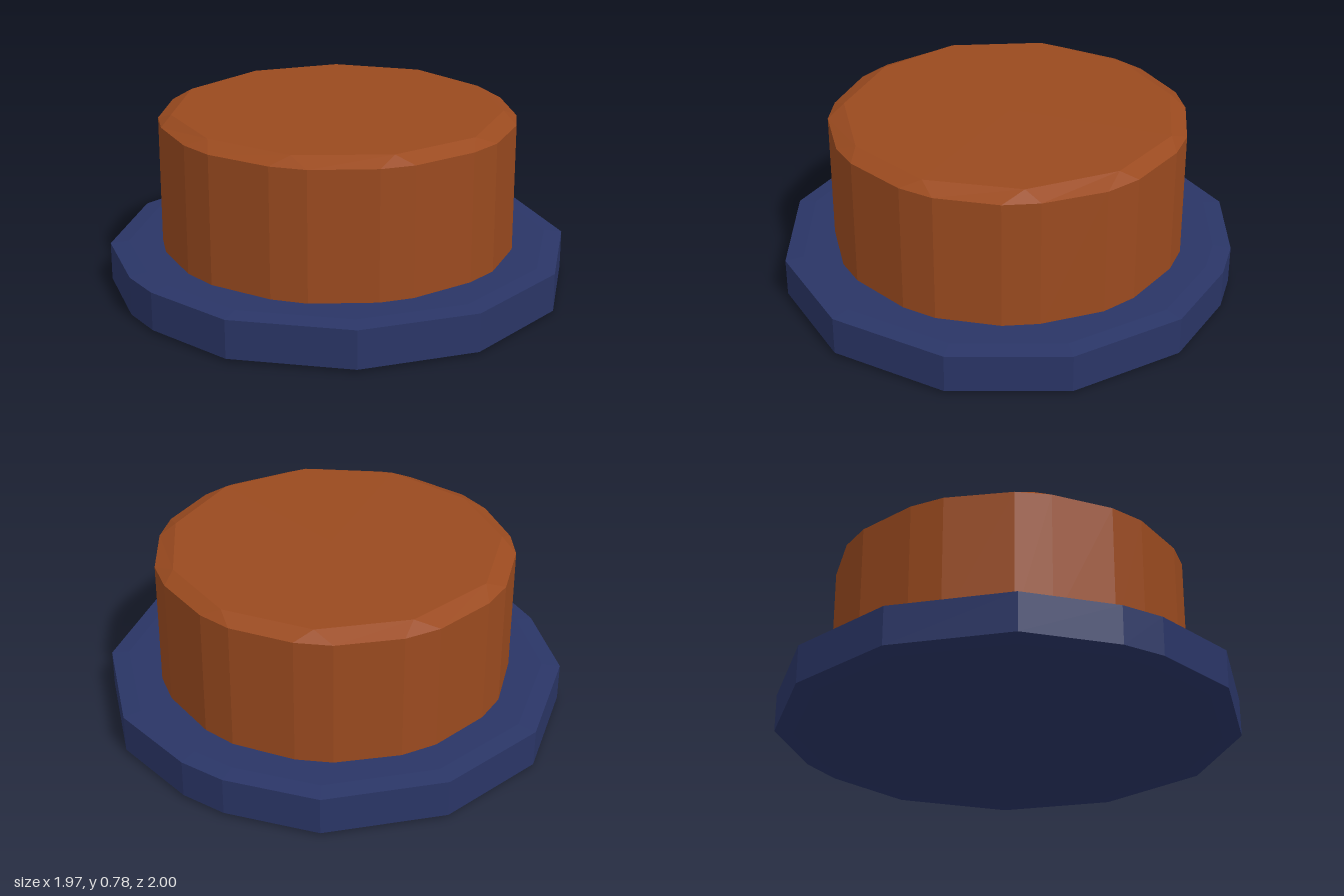
import * as THREE from 'three';

// Closed flat-faceted solid through rings of [x, y, z] points, bottom to top.
// Rings run clockwise as seen from above.
function loft(rings) {
  const pos = [];
  const tri = (a, b, c) => {
    const [A, B, C] = [a, b, c].map((p) => new THREE.Vector3(...p));
    if (B.sub(A).cross(C.sub(A)).length() > 1e-7) pos.push(...a, ...b, ...c);
  };
  const n = rings[0].length;
  const centre = (ring) => [0, ring[0][1], 0];
  const first = rings[0], last = rings[rings.length - 1];
  for (let i = 0; i < n; i++) {
    const j = (i + 1) % n;
    for (let k = 0; k < rings.length - 1; k++) {
      const lo = rings[k], hi = rings[k + 1];
      tri(lo[i], hi[i], lo[j]);
      tri(lo[j], hi[i], hi[j]);
    }
    tri(centre(first), first[i], first[j]);
    tri(centre(last), last[j], last[i]);
  }
  const g = new THREE.BufferGeometry();
  g.setAttribute('position', new THREE.Float32BufferAttribute(pos, 3));
  g.computeVertexNormals();
  return g;
}

const ring = (outline, y, s = 1) => outline.map(([x, z]) => [x * s, y, z * s]);

function part(name, rings, color) {
  const material = new THREE.MeshStandardMaterial({ color, flatShading: true });
  const mesh = new THREE.Mesh(loft(rings), material);
  mesh.name = name;
  return mesh;
}

export function createModel() {
  const model = new THREE.Group();
  model.name = 'button';

  // Wide base plate with a slight edge bevel
  const base = [
    [-0.02, -1], [0.49, -0.87], [0.78, -0.58], [0.88, -0.4], [0.98, 0],
    [0.85, 0.5], [0.49, 0.86], [-0.02, 1], [-0.51, 0.86], [-0.88, 0.49],
    [-0.99, 0.09], [-0.99, -0.1], [-0.88, -0.5], [-0.51, -0.87],
  ];
  model.add(part('basePlate', [
    ring(base, 0, 0.92), ring(base, 0.012), ring(base, 0.178), ring(base, 0.188, 0.92),
  ], 0x2a3566));

  // Drum: each corner of the top face fans out to two corners of the wall
  const wall = [
    [-0.09, -0.77], [0.07, -0.77], [0.34, -0.69], [0.47, -0.6], [0.65, -0.39],
    [0.71, -0.25], [0.75, 0.03], [0.73, 0.19], [0.61, 0.44], [0.51, 0.56],
    [0.28, 0.71], [0.13, 0.75], [-0.16, 0.75], [-0.3, 0.71], [-0.54, 0.56],
    [-0.64, 0.44], [-0.76, 0.18], [-0.78, 0.02], [-0.74, -0.25], [-0.68, -0.39],
    [-0.49, -0.61], [-0.36, -0.69],
  ];
  const top = [
    [0, -0.71], [0.38, -0.6], [0.64, -0.3], [0.69, 0.08], [0.53, 0.45],
    [0.19, 0.68], [-0.21, 0.68], [-0.55, 0.46], [-0.71, 0.09], [-0.67, -0.29],
    [-0.4, -0.6],
  ].flatMap((p) => [p, p]);
  model.add(part('drum', [
    ring(wall, 0.17), ring(wall, 0.745), ring(top, 0.78),
  ], 0x9a4a1f));

  return model;
}
